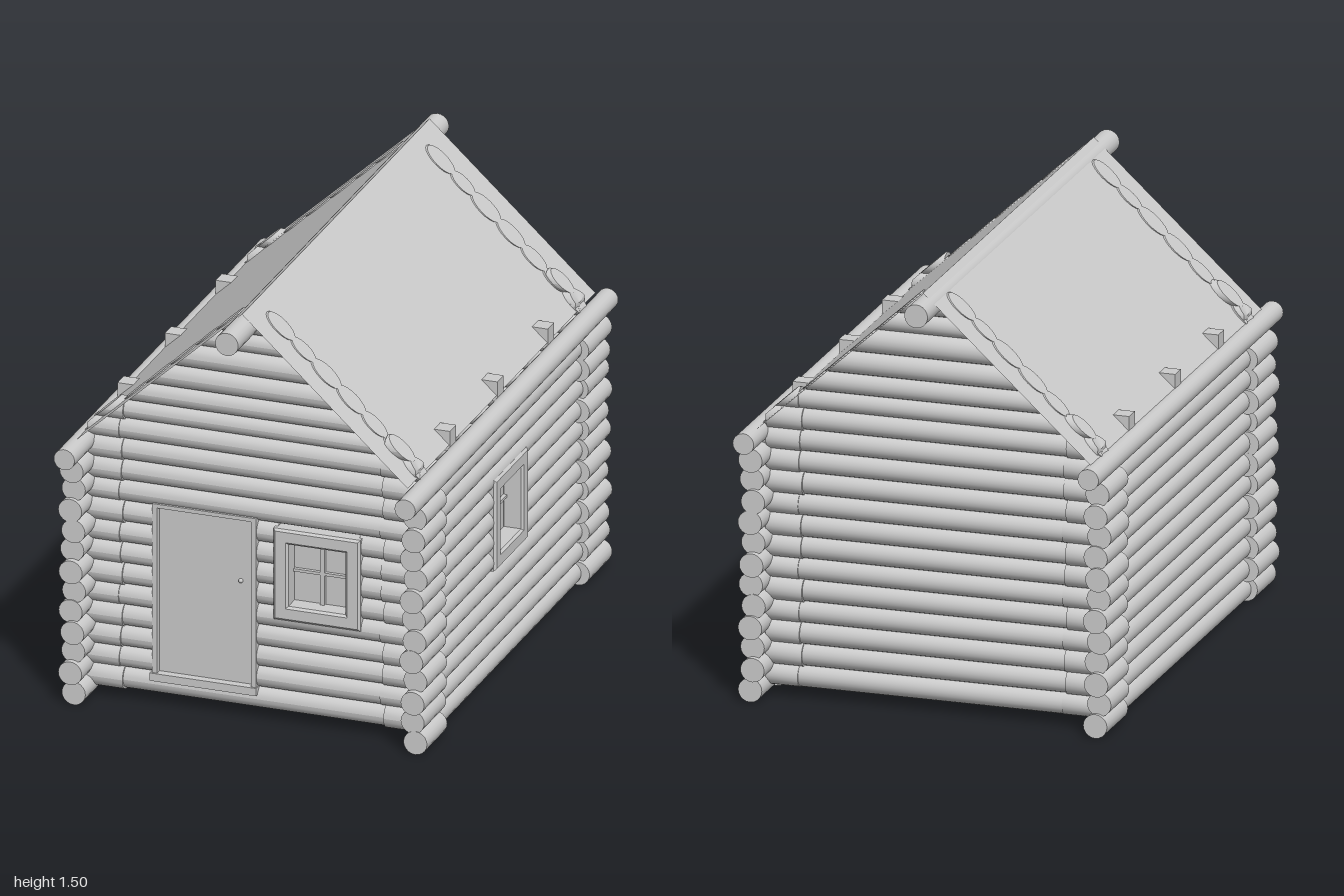
import * as THREE from 'three';

const grey = new THREE.MeshStandardMaterial({ color: 0xcccccc });
const greyBoth = new THREE.MeshStandardMaterial({ color: 0xcccccc, side: THREE.DoubleSide });

const RIDGE = 1.505, SLOPE = 0.92, EAVE_X = 0.59, ZC = -0.015;
const roofX = (y) => (RIDGE - y) / SLOPE;
const wobble = (i, k) => Math.sin(i * 2.4 + k * 1.7); // small repeatable irregularity

// Heights of the joints between the front and back logs
const JOINTS = Array.from({ length: 13 }, (_, i) => 0.04 + 0.0752 * i)
  .concat([1.016, 1.083, 1.155, 1.235, 1.318, 1.386, 1.465]);

function add(parent, name, geometry, x = 0, y = 0, z = 0, material = grey) {
  const mesh = new THREE.Mesh(geometry, material);
  mesh.name = name;
  mesh.position.set(x, y, z);
  parent.add(mesh);
  return mesh;
}

function box(parent, name, x0, x1, y0, y1, z0, z1) {
  return add(parent, name, new THREE.BoxGeometry(x1 - x0, y1 - y0, z1 - z0),
    (x0 + x1) / 2, (y0 + y1) / 2, (z0 + z1) / 2);
}

// Log along z
function logZ(parent, name, x, y, z0, z1, r) {
  const g = new THREE.CylinderGeometry(r, r, z1 - z0, 20).rotateX(Math.PI / 2);
  return add(parent, name, g, x, y, (z0 + z1) / 2);
}

// Log along x, its ends trimmed along the roof slope, standing 'over' beyond it
function logX(parent, name, x0, x1, y, z, r, over) {
  const g = new THREE.CylinderGeometry(r, r, x1 - x0, 20).rotateZ(Math.PI / 2);
  g.translate((x0 + x1) / 2, y, z);
  const p = g.attributes.position;
  for (let i = 0; i < p.count; i++) {
    const limit = Math.max(0.01, roofX(p.getY(i)) + over);
    p.setX(i, THREE.MathUtils.clamp(p.getX(i), -limit, limit));
  }
  g.computeVertexNormals();
  return add(parent, name, g);
}

function ring(w, h, border, depth, bevel = 0) {
  const rect = (S, a, b) => new S([[-a, -b], [a, -b], [a, b], [-a, b]].map(([x, y]) => new THREE.Vector2(x, y)));
  const shape = rect(THREE.Shape, w / 2 - bevel, h / 2 - bevel);
  shape.holes.push(rect(THREE.Path, w / 2 - border, h / 2 - border));
  return new THREE.ExtrudeGeometry(shape, {
    depth, bevelEnabled: bevel > 0, bevelSize: bevel, bevelThickness: bevel, bevelSegments: 1,
  });
}

// Window facing +z, its centre at the wall's outer face
function makeWindow(name) {
  const w = new THREE.Group();
  w.name = name;
  add(w, 'windowTrim', ring(0.31, 0.33, 0.045, 0.06, 0.008), 0, 0, -0.053);
  add(w, 'windowSash', ring(0.235, 0.255, 0.014, 0.04), 0, 0, -0.06);
  box(w, 'windowPane', -0.12, 0.12, -0.13, 0.13, -0.065, -0.055);
  box(w, 'verticalBar', -0.008, 0.008, -0.125, 0.125, -0.055, -0.04);
  box(w, 'horizontalBar', -0.115, 0.115, -0.005, 0.005, -0.055, -0.042);
  return w;
}

export function createModel() {
  const cabin = new THREE.Group();
  cabin.name = 'logCabin';

  // Side walls: logs along z with separate thicker corner ends
  for (const s of [-1, 1]) {
    const wall = new THREE.Group();
    wall.name = s > 0 ? 'leftWall' : 'rightWall';
    cabin.add(wall);
    for (let i = 0; i < 12; i++) {
      const y = 0.042 + 0.0735 * i, x = s * 0.583 + 0.004;
      const gap = s > 0 && i >= 5 && i <= 8;
      const spans = gap ? [[-0.7, -0.13], [0.115, 0.68]] : [[-0.7, 0.68]];
      for (const [a, b] of spans) logZ(wall, 'sideLog', x, y, a, b, 0.041);
      for (const e of [-1, 1]) {
        const inner = ZC + e * (0.675 + 0.01 * wobble(i, e));
        const outer = ZC + e * (0.88 + 0.012 * wobble(i, s + e));
        logZ(wall, 'cornerLogEnd', s * (0.608 + 0.006 * wobble(i, s)) + 0.002, y,
          Math.min(inner, outer), Math.max(inner, outer), 0.042);
      }
    }
    logZ(wall, 'wallPlateLog', s * 0.607 + 0.009, 0.926, -0.965, 0.96, 0.037);
  }

  // Front and back walls with gables: logs along x
  for (const f of [-1, 1]) {
    const wall = new THREE.Group();
    wall.name = f > 0 ? 'frontWall' : 'backWall';
    cabin.add(wall);
    const z = f > 0 ? 0.735 : -0.778;
    for (let i = 0; i < JOINTS.length - 1; i++) {
      const y = (JOINTS[i] + JOINTS[i + 1]) / 2;
      const r = (JOINTS[i + 1] - JOINTS[i]) * 0.545;
      let spans = [[-0.6, 0.6]];
      if (f > 0 && i >= 1 && i <= 8) {
        spans = i >= 5 ? [[-0.6, -0.345], [0.012, 0.09], [0.38, 0.6]] : [[-0.6, -0.345], [0.012, 0.6]];
      }
      for (const [a, b] of spans) logX(wall, i > 12 ? 'gableLog' : 'wallLog', a, b, y, z, r, 0.006);
      if (i > 13) continue;
      for (const s of [-1, 1]) {
        const inner = s * (0.465 + 0.008 * wobble(i, s)), outer = s * 0.585;
        logX(wall, 'crossLogEnd', Math.min(inner, outer), Math.max(inner, outer), y,
          z + f * 0.004, r + 0.002 + 0.002 * wobble(i, f), 0.028);
      }
    }
  }

  // Floor
  box(cabin, 'floor', -0.59, 0.59, 0.045, 0.06, -0.77, 0.73);

  // Roof sheets, ridge log and eave blocks
  const eaveY = RIDGE - SLOPE * EAVE_X;
  for (const s of [-1, 1]) {
    const sheet = add(cabin, 'roofSheet',
      new THREE.PlaneGeometry(1.78, Math.hypot(EAVE_X, RIDGE - eaveY)),
      s * EAVE_X / 2, (RIDGE + eaveY) / 2, -0.025, greyBoth);
    sheet.rotation.order = 'YXZ';
    sheet.rotation.set(-Math.atan2(EAVE_X, RIDGE - eaveY), s * Math.PI / 2, 0);
    for (const z of [-0.49, -0.01, 0.44]) {
      box(cabin, 'eaveBlock', s * 0.558 - 0.034, s * 0.558 + 0.034, 0.94, 1.012, z - 0.03, z + 0.03);
    }
  }
  logZ(cabin, 'ridgeLog', -0.004, 1.449, -1, 1, 0.041);

  // Door with its frame
  const door = new THREE.Group();
  door.name = 'door';
  cabin.add(door);
  box(door, 'doorPanel', -0.34, 0.005, 0.1, 0.72, 0.69, 0.755);
  box(door, 'doorJamb', -0.353, -0.335, 0.1, 0.73, 0.69, 0.778);
  box(door, 'doorJamb', 0, 0.018, 0.1, 0.73, 0.69, 0.778);
  box(door, 'doorHead', -0.353, 0.018, 0.718, 0.732, 0.69, 0.778);
  box(door, 'threshold', -0.36, 0.02, 0.092, 0.12, 0.69, 0.785);
  add(door, 'doorKnob', new THREE.SphereGeometry(0.008, 10, 8), -0.045, 0.49, 0.757);

  // Windows on the front and on the left side
  const front = makeWindow('frontWindow');
  front.position.set(0.235, 0.545, 0.772);
  const side = makeWindow('sideWindow');
  side.position.set(0.62, 0.545, -0.008);
  side.rotation.y = Math.PI / 2;
  cabin.add(front, side);

  return cabin;
}
